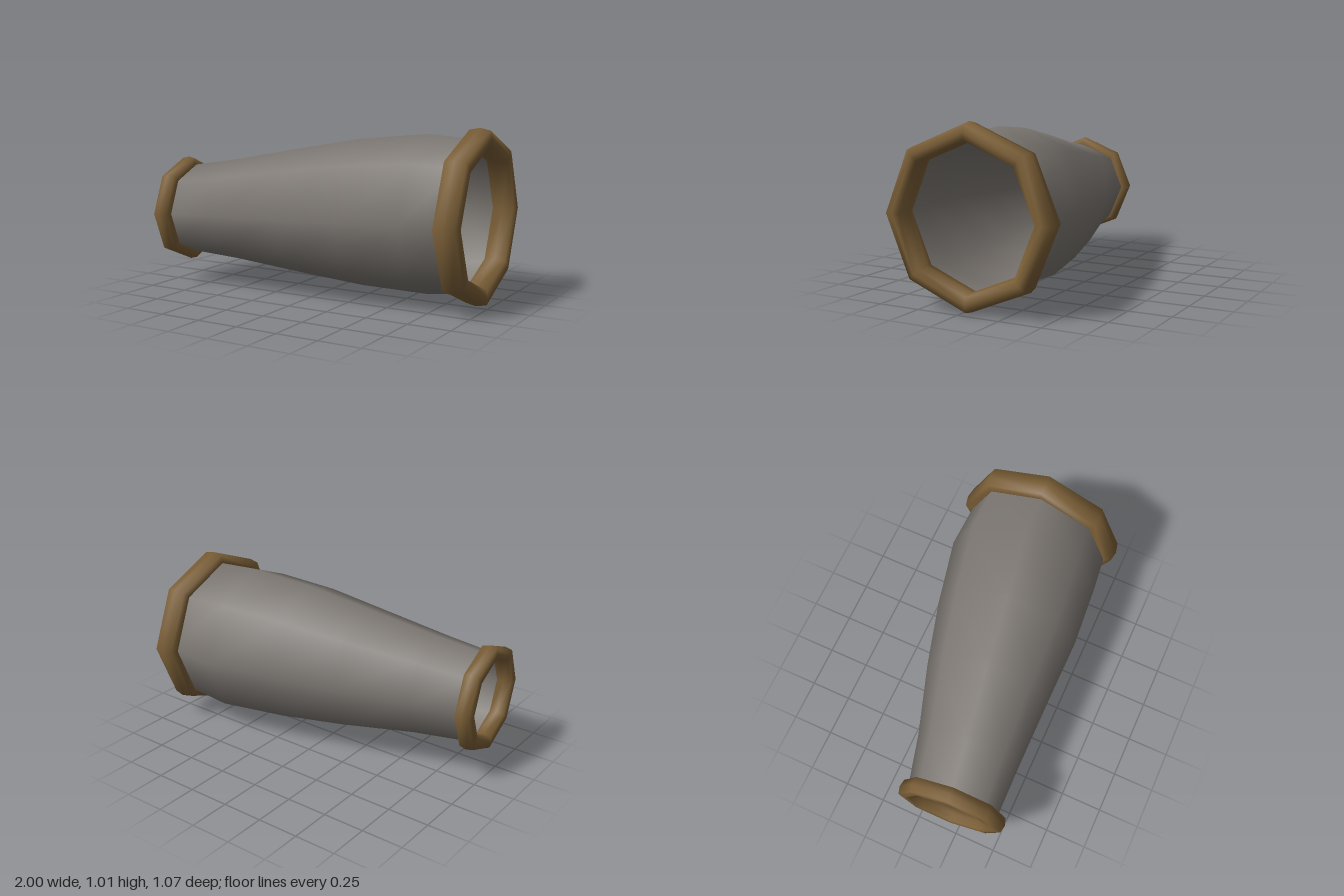
import * as THREE from 'three';

const SIDES = 8;

// Point on an octagon around centre [x, y, z]; tilt leans its plane about the y axis
function ringPoint([x, y, z], tilt, along, r, i) {
  const t = (i / SIDES) * Math.PI * 2;
  const s = Math.sin(t) * r, n = Math.hypot(1, tilt);
  return [x + (along + s * tilt) / n, y + Math.cos(t) * r, z + (s - along * tilt) / n];
}

// Smooth skin over a row of octagons; closed joins the last one to the first
function loft(rows, closed) {
  const pos = [], idx = [];
  for (const row of rows) {
    for (let i = 0; i < SIDES; i++) pos.push(...ringPoint(row.c, row.tilt, row.along || 0, row.r, i));
  }
  const spans = closed ? rows.length : rows.length - 1;
  for (let j = 0; j < spans; j++) {
    const k = (j + 1) % rows.length;
    for (let i = 0; i < SIDES; i++) {
      const n = (i + 1) % SIDES;
      const a = j * SIDES + i, b = j * SIDES + n, c = k * SIDES + n, d = k * SIDES + i;
      idx.push(a, b, d, b, c, d);
    }
  }
  const g = new THREE.BufferGeometry();
  g.setAttribute('position', new THREE.Float32BufferAttribute(pos, 3));
  g.setIndex(idx);
  g.computeVertexNormals();
  return g;
}

// Rounded collar: section runs forward along the outside and back along the inside
function collar(c, tilt, inner, outer, half) {
  const section = [[-1, 0.5], [-0.88, 0.88], [0, 1], [0.88, 0.88], [1, 0.5], [0.88, 0.12], [0, 0], [-0.88, 0.12]];
  return loft(section.map(([a, f]) => ({ c, tilt, along: a * half, r: inner + (outer - inner) * f })), true);
}

export function createModel() {
  const group = new THREE.Group();
  const grey = new THREE.MeshStandardMaterial({ color: 0x7b7671, side: THREE.DoubleSide });
  grey.name = 'warm grey';
  const brown = new THREE.MeshStandardMaterial({ color: 0x7a5e36 });
  brown.name = 'brown';

  const add = (name, geometry, material) => {
    const mesh = new THREE.Mesh(geometry, material);
    mesh.name = name;
    group.add(mesh);
  };

  // Hollow sleeve, gently curved: centre, radius, tilt
  const sleeve = [
    { c: [-0.93, 0.45, 0.2], r: 0.27, tilt: 0.065 },
    { c: [-0.6, 0.462, 0.155], r: 0.31, tilt: 0.09 },
    { c: [-0.17, 0.476, 0.086], r: 0.38, tilt: 0.12 },
    { c: [0.22, 0.49, 0.034], r: 0.436, tilt: 0.12 },
    { c: [0.61, 0.5, -0.025], r: 0.464, tilt: 0.076 },
    { c: [0.915, 0.506, -0.035], r: 0.44, tilt: 0.02 },
  ];
  add('sleeve', loft(sleeve, false), grey);

  // Collars around both open ends
  add('smallCollar', collar([-0.93, 0.452, 0.205], 0.065, 0.235, 0.325, 0.05), brown);
  add('largeCollar', collar([0.918, 0.505, -0.036], 0.02, 0.397, 0.505, 0.072), brown);

  return group;
}
